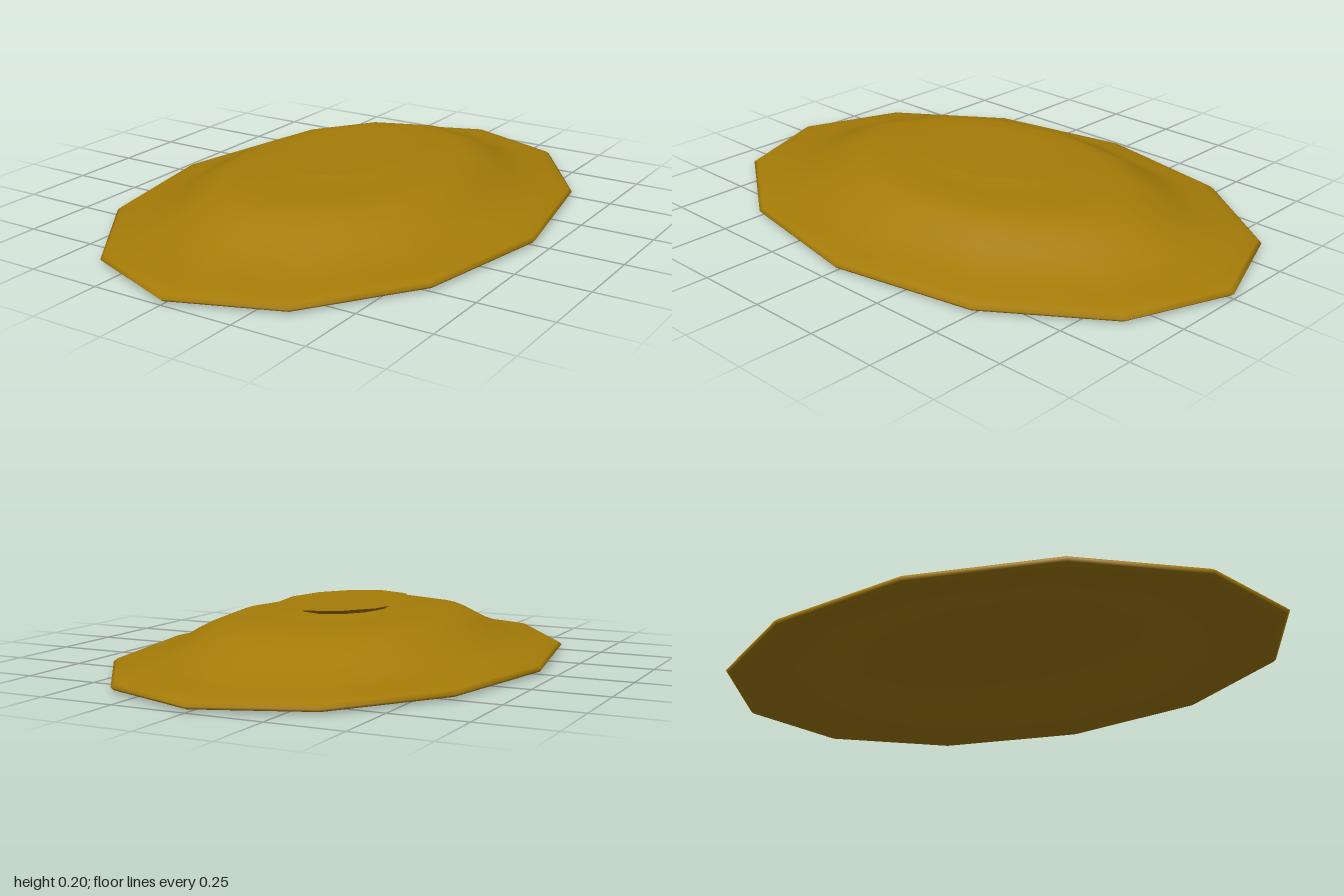
import * as THREE from 'three';

const SIDES = 12;
const material = new THREE.MeshStandardMaterial({ color: 0xa67c08, side: THREE.DoubleSide });

// Revolve a [radius, height] profile around y; vertices lie on the z axis
function revolve(name, profile) {
  const points = profile.map(([r, y]) => new THREE.Vector2(r, y));
  const mesh = new THREE.Mesh(new THREE.LatheGeometry(points, SIDES), material);
  mesh.name = name;
  return mesh;
}

export function createModel() {
  const group = new THREE.Group();
  group.name = 'ovalBase';

  // Hollow domed shell: shallow underside from the centre out, round the rim, up the dome
  group.add(revolve('domedShell', [
    [0, 0.106], [0.25, 0.104], [0.4, 0.097], [0.5, 0.083], [0.59, 0.06],
    [0.68, 0.036], [0.76, 0.018], [0.84, 0.006], [0.91, 0], [0.96, 0.003],
    [0.99, 0.009], [1, 0.018], [0.985, 0.028], [0.94, 0.037], [0.87, 0.047],
    [0.81, 0.058], [0.75, 0.076], [0.69, 0.1], [0.63, 0.126], [0.57, 0.147],
    [0.52, 0.158], [0.47, 0.162], [0.4, 0.165], [0.31, 0.168],
  ]));

  // Shoulder running in to the narrow waist
  group.add(revolve('shoulder', [[0.31, 0.168], [0.25, 0.172], [0.2, 0.177]]));

  // Flared neck above the waist
  group.add(revolve('flaredNeck', [
    [0.2, 0.177], [0.205, 0.182], [0.23, 0.189], [0.26, 0.194], [0.298, 0.2],
  ]));

  // Flat top
  const cap = new THREE.Mesh(new THREE.CircleGeometry(0.298, SIDES), material);
  cap.name = 'topCap';
  cap.rotation.set(-Math.PI / 2, 0, 0);
  cap.position.y = 0.2;
  group.add(cap);

  // Oval footprint
  group.scale.x = 0.7;
  return group;
}
